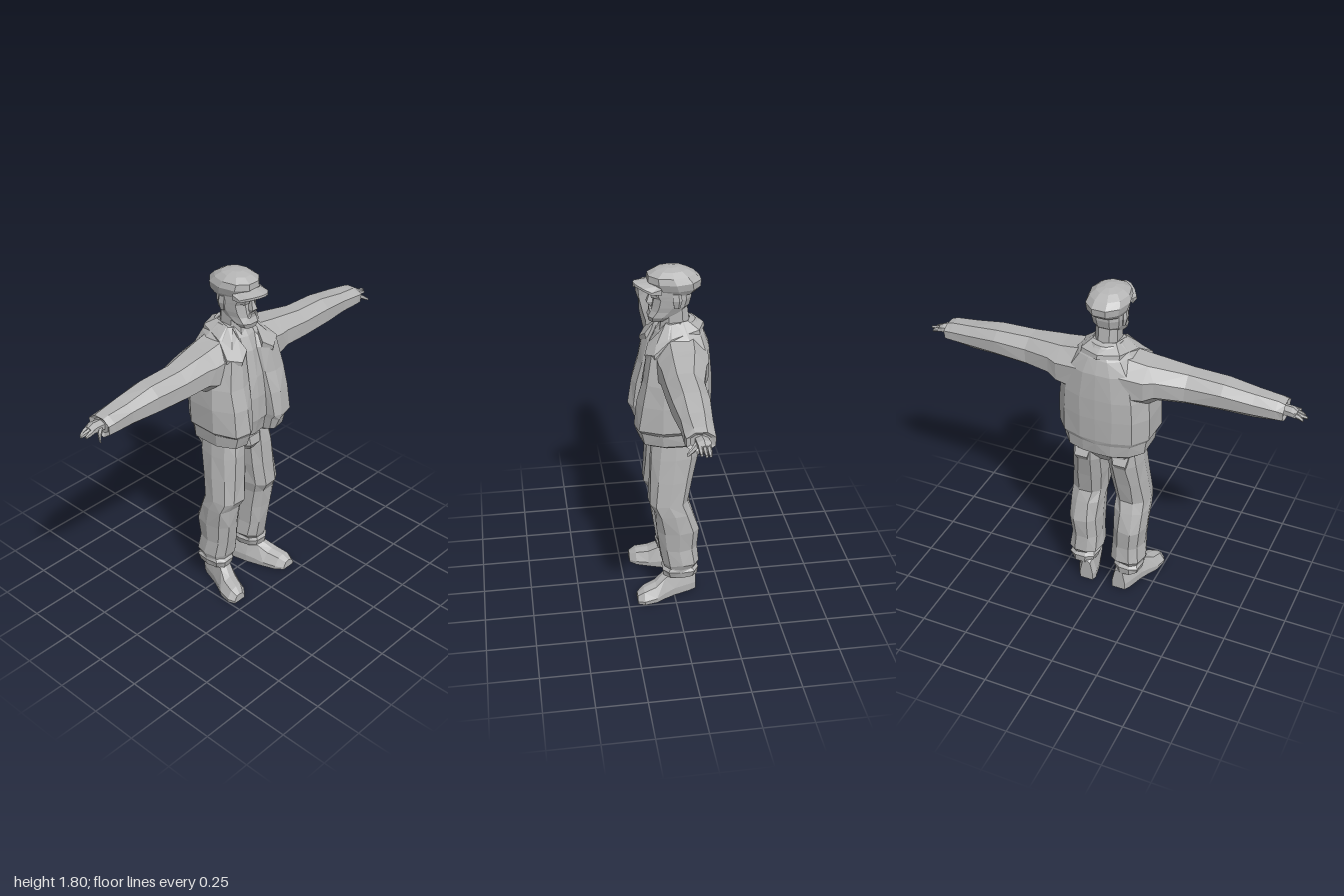
import * as THREE from 'three';

const clay = new THREE.MeshStandardMaterial({ color: 0xb4b4b4, flatShading: true });
clay.name = 'clay grey';

// Skin closed rings of [x, y, z] points, cap both ends and face outwards.
function loft(name, rings, rough = 0) {
  const n = rings[0].length, pos = [], idx = [];
  let seed = 7;
  const jitter = () => ((seed = (seed * 16807) % 2147483647) / 2147483647 - 0.5) * 2 * rough;
  rings.forEach(r => r.forEach(p => pos.push(p[0] + jitter() * Math.sign(p[0]), p[1] + jitter(), p[2] + jitter())));
  for (let i = 0; i < rings.length - 1; i++) {
    for (let j = 0; j < n; j++) {
      const a = i * n + j, b = i * n + (j + 1) % n;
      if ((i + j) % 2) idx.push(a, b, b + n, a, b + n, a + n);
      else idx.push(a, b, a + n, b, b + n, a + n);
    }
  }
  [0, rings.length - 1].forEach((r, end) => {
    const c = pos.length / 3;
    for (let k = 0; k < 3; k++) pos.push(rings[r].reduce((s, p) => s + p[k], 0) / n);
    for (let j = 0; j < n; j++) {
      const a = r * n + j, b = r * n + (j + 1) % n;
      idx.push(c, end ? a : b, end ? b : a);
    }
  });
  // signed volume decides the winding
  let volume = 0;
  const v = i => new THREE.Vector3().fromArray(pos, i * 3);
  for (let i = 0; i < idx.length; i += 3) volume += v(idx[i]).dot(v(idx[i + 1]).cross(v(idx[i + 2])));
  if (volume < 0) idx.reverse();
  const g = new THREE.BufferGeometry();
  g.setAttribute('position', new THREE.Float32BufferAttribute(pos, 3));
  g.setIndex(idx);
  g.computeVertexNormals();
  const mesh = new THREE.Mesh(g, clay);
  mesh.name = name;
  return mesh;
}

const power = (t, e) => Math.sign(t) * Math.abs(t) ** e;

// Horizontal ring between x0..x1 and z0..z1; e below 1 makes it boxier.
function ringY(y, x0, x1, z0, z1, n = 10, e = 0.8) {
  return Array.from({ length: n }, (_, i) => {
    const a = (i + 0.5) / n * Math.PI * 2;
    return [(x0 + x1) / 2 + (x1 - x0) / 2 * power(Math.sin(a), e), y,
      (z0 + z1) / 2 + (z1 - z0) / 2 * power(Math.cos(a), e)];
  });
}

// Upright ring across the x axis.
function ringX(x, y0, y1, z0, z1, n = 8, e = 0.9) {
  return ringY(x, y0, y1, z0, z1, n, e).map(p => [p[1], p[0], p[2]]);
}

// Jacket section with a recessed shirt between the two front edges.
function jacketRing([y, rx, zf, zb, zs, edge]) {
  const half = [[edge, zs], [edge + 0.008, zf - 0.02], [Math.max(edge + 0.02, rx * 0.48), zf], [rx * 0.8, zf * 0.9],
    [rx, zf * 0.35], [rx, zb * 0.45], [rx * 0.75, zb * 0.83], [rx * 0.35, zb * 0.98]];
  return [[0, y, zs + 0.01], ...half.map(p => [p[0], y, p[1]]), [0, y, zb],
    ...half.reverse().map(p => [-p[0], y, p[1]])];
}

export function createModel() {
  const model = new THREE.Group();
  model.name = 'figure';
  const add = (...a) => model.add(loft(...a));

  // Jacket body: hem band, full waist, chest, shoulders
  add('jacket', [
    [0.915, 0.2, 0.13, -0.165, 0.08, 0.075], [0.93, 0.215, 0.165, -0.185, 0.11, 0.075],
    [0.995, 0.222, 0.185, -0.19, 0.125, 0.07], [1.02, 0.245, 0.198, -0.198, 0.135, 0.068],
    [1.15, 0.245, 0.18, -0.2, 0.135, 0.06], [1.26, 0.235, 0.152, -0.2, 0.12, 0.05],
    [1.4, 0.2, 0.125, -0.19, 0.095, 0.04], [1.47, 0.14, 0.08, -0.165, 0.06, 0.05],
    [1.525, 0.075, 0.03, -0.125, 0.02, 0.05],
  ].map(jacketRing), 0.003);

  // Seat of the trousers, belt buckle and fly
  add('trouserSeat', [[0.95, 0.18, 0.1, -0.13], [0.88, 0.175, 0.105, -0.13], [0.825, 0.06, 0.06, -0.09]]
    .map(([y, x, f, b]) => ringY(y, -x, x, b, f)));
  add('beltBuckle', [ringY(0.92, -0.065, 0.065, 0.06, 0.12, 6), ringY(0.87, -0.055, 0.055, 0.06, 0.128, 6),
    ringY(0.83, -0.025, 0.025, 0.05, 0.1, 6)]);

  // Neck and head
  add('neck', [ringY(1.42, -0.065, 0.065, -0.1, 0.08, 8), ringY(1.5, -0.062, 0.062, -0.1, 0.055, 8),
    ringY(1.62, -0.06, 0.06, -0.085, 0.04, 8)]);
  add('head', [[1.53, 0.045, 0.105, 0.02], [1.555, 0.064, 0.112, -0.02], [1.585, 0.07, 0.098, -0.07],
    [1.61, 0.078, 0.092, -0.095], [1.65, 0.084, 0.085, -0.105], [1.67, 0.084, 0.098, -0.105], [1.72, 0.088, 0.095, -0.12]]
    .map(([y, x, f, b]) => ringY(y, -x, x, b, f, 10)));
  add('nose', [ringY(1.605, -0.014, 0.014, 0.07, 0.1, 4), ringY(1.625, -0.022, 0.022, 0.06, 0.122, 4),
    ringY(1.668, -0.01, 0.01, 0.06, 0.104, 4)]);
  add('moustache', [ringY(1.582, -0.036, 0.036, 0.06, 0.104, 6), ringY(1.602, -0.02, 0.02, 0.06, 0.106, 6)]);

  // Flat cap: crown and arched visor
  add('capCrown', [[1.675, 0.084, 0.06, -0.125], [1.7, 0.098, 0.09, -0.153], [1.735, 0.107, 0.115, -0.156],
    [1.765, 0.096, 0.112, -0.125], [1.787, 0.066, 0.072, -0.085], [1.797, 0.025, 0.025, -0.04]]
    .map(([y, x, f, b]) => ringY(y, -x, x, b, f, 10, 0.95)));
  add('capVisor', [-0.09, -0.065, -0.03, 0, 0.03, 0.065, 0.09].map(x => {
    const front = 0.178 - 10 * x * x, drop = 3.5 * x * x;
    return [[x, 1.742 - drop, 0.05], [x, 1.728 - drop, front], [x, 1.716 - drop, front], [x, 1.716 - drop, 0.05]];
  }));

  for (const [side, s] of [['left', 1], ['right', -1]]) {
    const flip = rings => rings.map(r => r.map(p => [p[0] * s, p[1], p[2]]));
    const pair = (name, rings, rough) => add(side + name, flip(rings), rough);

    // Sleeve with open cuff
    pair('Sleeve', [
      [0.08, 1.2, 1.485, -0.185, 0.1], [0.23, 1.225, 1.46, -0.165, 0.095], [0.28, 1.255, 1.455, -0.145, 0.09],
      [0.42, 1.262, 1.438, -0.11, 0.085], [0.6, 1.272, 1.432, -0.102, 0.08], [0.75, 1.275, 1.41, -0.088, 0.07],
      [0.86, 1.283, 1.395, -0.078, 0.066], [0.895, 1.288, 1.386, -0.075, 0.062], [0.885, 1.305, 1.37, -0.055, 0.045],
    ].map(r => ringX(...r)), 0.003);

    // Hand: palm, fingers and thumb
    pair('Palm', [ringX(0.87, 1.315, 1.365, -0.04, 0.025, 6), ringX(0.925, 1.32, 1.364, -0.048, 0.022, 6),
      ringX(0.95, 1.318, 1.35, -0.045, 0.015, 6)]);
    [[-0.032, 0.985, 1.31], [-0.013, 1.0, 1.318], [0.006, 0.985, 1.316]].forEach(([z, tip, y]) =>
      pair('Finger', [ringX(0.935, 1.325, 1.352, z - 0.011, z + 0.011, 5), ringX(0.965, 1.318, 1.342, z - 0.01, z + 0.01, 5),
        ringX(tip, y, y + 0.014, z - 0.006, z + 0.006, 5)]));
    pair('Thumb', [ringX(0.9, 1.318, 1.35, -0.005, 0.025, 5), ringX(0.93, 1.31, 1.338, 0.02, 0.046, 5),
      ringX(0.95, 1.302, 1.318, 0.052, 0.068, 5)]);

    // Folded collar running into the lapel
    pair('Collar', [
      [[0, 1.532, -0.1], [0, 1.5, -0.168]],
      [[0.06, 1.535, -0.08], [0.1, 1.5, -0.13]],
      [[0.075, 1.525, 0], [0.14, 1.475, 0.01]],
      [[0.07, 1.485, 0.065], [0.178, 1.415, 0.1]],
      [[0.055, 1.43, 0.115], [0.11, 1.392, 0.138]],
    ].map(([a, b]) => [a, b, [b[0], b[1] - 0.022, b[2] - 0.005], [a[0], a[1] - 0.03, a[2] - 0.005]]));

    // Ear and sideburn
    pair('Ear', [ringY(1.61, 0.07, 0.086, -0.04, -0.01, 5), ringY(1.65, 0.072, 0.097, -0.05, 0, 5),
      ringY(1.685, 0.072, 0.092, -0.045, 0, 5)]);
    pair('Brow', [ringY(1.66, 0.012, 0.06, 0.06, 0.098, 5), ringY(1.678, 0.01, 0.065, 0.06, 0.104, 5)]);

    // Baggy trouser leg with gathered cuff
    pair('TrouserLeg', [
      [0.93, 0.004, 0.175, -0.13, 0.1], [0.83, 0.006, 0.188, -0.132, 0.115], [0.7, 0.016, 0.2, -0.102, 0.122],
      [0.57, 0.028, 0.212, -0.072, 0.128], [0.51, 0.034, 0.218, -0.098, 0.102], [0.4, 0.038, 0.212, -0.133, 0.09],
      [0.29, 0.036, 0.204, -0.125, 0.075], [0.2, 0.032, 0.215, -0.14, 0.064], [0.175, 0.055, 0.2, -0.118, 0.052],
      [0.155, 0.05, 0.205, -0.135, 0.062], [0.12, 0.058, 0.196, -0.125, 0.055],
    ].map(r => ringY(...r)), 0.004);

    // Raised back pocket flap
    pair('BackPocket', [ringY(0.9, 0.05, 0.16, -0.122, -0.1, 4), ringY(0.855, 0.06, 0.15, -0.152, -0.1, 4),
      ringY(0.82, 0.07, 0.14, -0.128, -0.1, 4)]);

    // Shoe, turned outwards: sections from heel to toe [z, centre x, half width, height]
    pair('Shoe', [
      [-0.122, 0.095, 0.036, 0.13], [-0.09, 0.1, 0.05, 0.15], [0, 0.125, 0.056, 0.15], [0.05, 0.145, 0.06, 0.125],
      [0.1, 0.168, 0.066, 0.088], [0.165, 0.187, 0.06, 0.07], [0.2, 0.195, 0.036, 0.045],
    ].map(([z, x, w, h]) => [[x - w, 0, z], [x - w * 1.05, h * 0.3, z], [x - w * 0.6, h * 0.9, z], [x, h, z],
      [x + w * 0.6, h * 0.9, z], [x + w * 1.05, h * 0.3, z], [x + w, 0, z]]));
  }
  return model;
}
